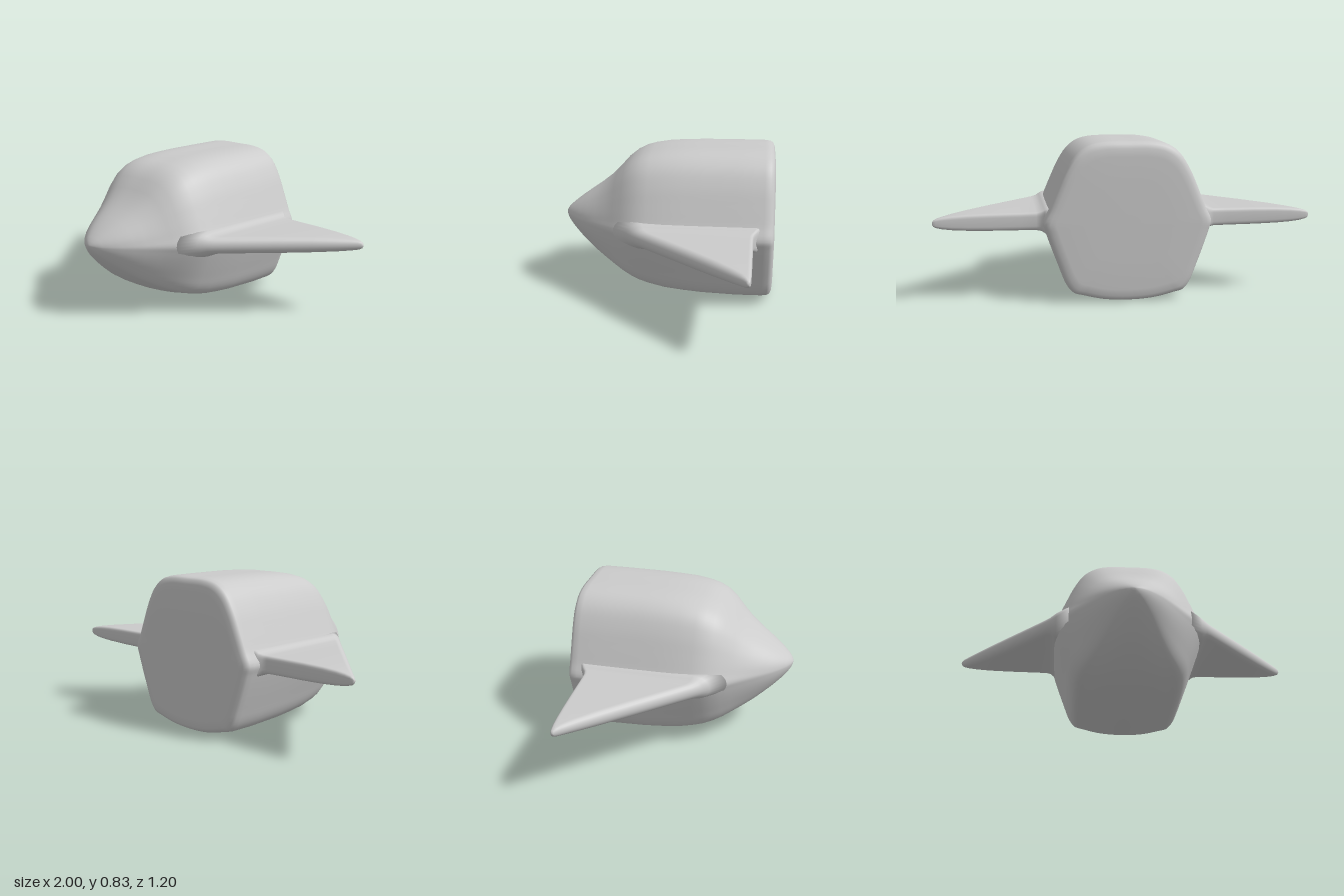
import * as THREE from 'three';

const MID = 0.415; // height of the wing line

const material = new THREE.MeshStandardMaterial({ color: 0xcccccc });

// Skin a list of equal-length rings and close both ends with a fan.
function loft(name, rings) {
  const n = rings[0].length;
  const pos = rings.flat(2);
  const index = [];
  for (let i = 0; i < rings.length - 1; i++) {
    for (let j = 0; j < n; j++) {
      const k = (j + 1) % n;
      const a = i * n + j, b = i * n + k, c = a + n, d = b + n;
      index.push(a, b, c, b, d, c);
    }
  }
  const cap = (ring, start, flip) => {
    const centre = [0, 1, 2].map((q) => ring.reduce((s, p) => s + p[q], 0) / n);
    const c = pos.length / 3;
    pos.push(...centre);
    for (let j = 0; j < n; j++) {
      const k = (j + 1) % n;
      index.push(c, start + (flip ? k : j), start + (flip ? j : k));
    }
  };
  cap(rings[0], 0, true);
  cap(rings.at(-1), (rings.length - 1) * n, false);
  const g = new THREE.BufferGeometry();
  g.setAttribute('position', new THREE.Float32BufferAttribute(pos, 3));
  g.setIndex(index);
  g.computeVertexNormals();
  const mesh = new THREE.Mesh(g, material);
  mesh.name = name;
  return mesh;
}

// Hull cross-section in units of half width, height above and depth below the wing line.
function hullSection() {
  const half = [[1, 0], [0.93, 0.17], [0.84, 0.4], [0.74, 0.64], [0.62, 0.84], [0.48, 0.95], [0.3, 0.995], [0, 1]];
  const lower = [[0.3, -0.98], [0.55, -0.92], [0.66, -0.885], [0.74, -0.78], [0.82, -0.57], [0.91, -0.31], [0.97, -0.12]];
  const mirror = (list) => list.map(([x, y]) => [-x, y]).reverse();
  const loop = [...half, ...mirror(half.slice(0, -1)), ...mirror(lower), [0, -1], ...lower];
  const curve = new THREE.CatmullRomCurve3(loop.map(([x, y]) => new THREE.Vector3(x, y, 0)), true);
  return curve.getPoints(120).slice(0, -1);
}

// Stations from tail to nose: z, half width, top, bottom.
const stations = [
  [-0.6, 0.22, 0.62, 0.21], [-0.598, 0.375, 0.755, 0.065], [-0.594, 0.405, 0.795, 0.03],
  [-0.585, 0.425, 0.818, 0.013], [-0.57, 0.434, 0.828, 0.005], [-0.54, 0.438, 0.832, 0.001],
  [-0.4, 0.44, 0.832, 0], [-0.2, 0.44, 0.83, 0.008], [-0.1, 0.44, 0.826, 0.018],
  [0, 0.438, 0.82, 0.031], [0.09, 0.43, 0.805, 0.053], [0.14, 0.42, 0.791, 0.068],
  [0.19, 0.4, 0.768, 0.086], [0.24, 0.368, 0.73, 0.106], [0.29, 0.328, 0.675, 0.131],
  [0.34, 0.288, 0.626, 0.158], [0.4, 0.242, 0.58, 0.196], [0.45, 0.202, 0.547, 0.236],
  [0.5, 0.159, 0.512, 0.28], [0.54, 0.116, 0.482, 0.32], [0.57, 0.078, 0.457, 0.354],
  [0.587, 0.048, 0.44, 0.378], [0.597, 0.022, 0.425, 0.398], [0.6, 0.004, 0.416, 0.412],
];

function hull() {
  const section = hullSection();
  return loft('hull', stations.map(([z, w, top, bottom]) => {
    const round = 0.85 * THREE.MathUtils.smoothstep(z, 0.12, 0.58); // nose becomes oval
    return section.map((p) => {
      const s = 1 + round * (1 / Math.hypot(p.x, p.y) - 1);
      const y = p.y * s;
      return [p.x * s * w, MID + y * (y > 0 ? top - MID : MID - bottom), z];
    });
  }));
}

// Wing sections from root to tip: x, rear z, half thickness; the root flares into the hull.
const wingStations = [
  [0.34, -0.53, 0.075], [0.41, -0.525, 0.07], [0.428, -0.512, 0.06], [0.445, -0.496, 0.051],
  [0.47, -0.489, 0.047], [0.55, -0.487, 0.046], [0.7, -0.486, 0.045], [0.82, -0.485, 0.042],
  [0.9, -0.484, 0.037], [0.95, -0.483, 0.031], [0.98, -0.481, 0.024], [0.994, -0.478, 0.016], [1, -0.473, 0.006],
];

function wing(name, side) {
  const rings = wingStations.map(([x, rear, h]) => {
    const lead = -0.462 + (1 - x) * 1.12;
    const rFront = Math.min(h * 1.3, (lead - rear) / 2);
    const rRear = Math.min(0.022, (lead - rear) / 2);
    const ring = [];
    // rounded leading edge, then a tighter rounded trailing edge
    for (let i = 0; i <= 12; i++) {
      const a = (Math.PI * i) / 12;
      ring.push([side * x, MID + h * Math.cos(a), lead - rFront + rFront * Math.sin(a)]);
    }
    for (let i = 0; i <= 12; i++) {
      const a = Math.PI * (1 + i / 12);
      const c = Math.cos(a), s = Math.sin(a);
      const y = Math.sign(c) * Math.abs(c) ** 0.5;
      ring.push([side * x, MID + h * y, rear + rRear - rRear * Math.abs(s) ** 0.7]);
    }
    return ring;
  });
  return loft(name, side > 0 ? rings : rings.reverse());
}

export function createModel() {
  const model = new THREE.Group();
  model.name = 'spacecraft';
  model.add(hull(), wing('leftWing', 1), wing('rightWing', -1));
  return model;
}
